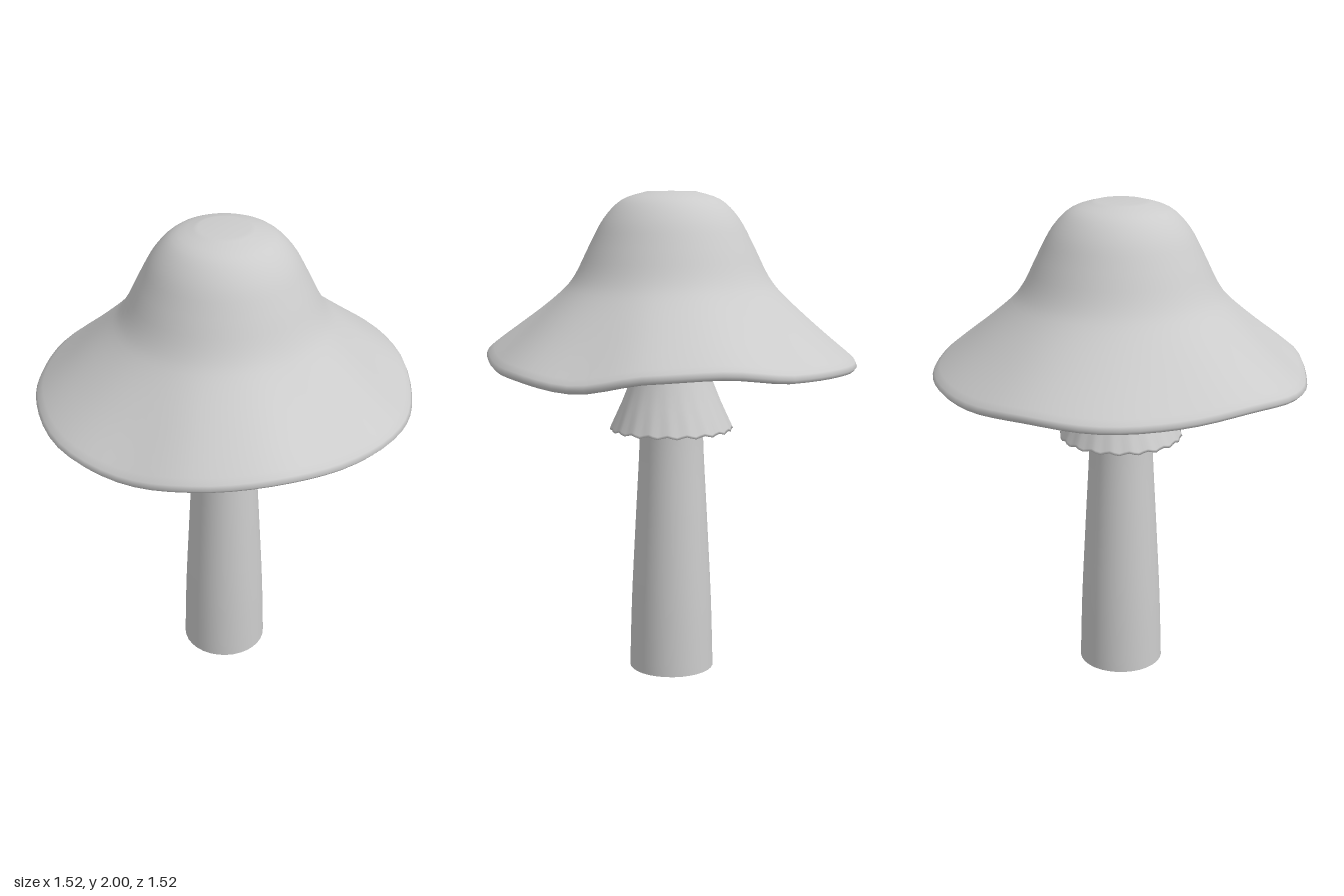
import * as THREE from 'three';
import { mergeVertices } from 'three/addons/utils/BufferGeometryUtils.js';

const material = new THREE.MeshStandardMaterial({ color: 0xcccccc, side: THREE.DoubleSide });

// Turned part whose points may be shifted by a rule; smooth across the seam
function turned(name, profile, segments, rule) {
  const lathe = new THREE.LatheGeometry(profile.map(([r, y]) => new THREE.Vector2(r, y)), segments);
  lathe.deleteAttribute('uv');
  lathe.deleteAttribute('normal');
  const geometry = mergeVertices(lathe, 1e-5);
  if (rule) {
    const p = geometry.attributes.position;
    for (let i = 0; i < p.count; i++) {
      const x = p.getX(i), z = p.getZ(i);
      const [r, y] = rule(Math.hypot(x, z), p.getY(i), Math.atan2(z, x));
      const a = Math.atan2(z, x);
      p.setXYZ(i, r * Math.cos(a), y, r * Math.sin(a));
    }
  }
  geometry.computeVertexNormals();
  const mesh = new THREE.Mesh(geometry, material);
  mesh.name = name;
  return mesh;
}

// Smooth curve through profile points
function smooth(points, count) {
  const curve = new THREE.SplineCurve(points.map(([r, y]) => new THREE.Vector2(r, y)));
  return curve.getPoints(count).map((v) => [Math.max(v.x, 0), v.y]);
}

// Radius and lowest height of the wavy brim, every 22.5 degrees from +x towards +z
const brim = new THREE.CatmullRomCurve3([
  [0.757, 1.285], [0.745, 1.295], [0.772, 1.325], [0.772, 1.305],
  [0.757, 1.268], [0.772, 1.285], [0.758, 1.305], [0.752, 1.29],
  [0.765, 1.285], [0.757, 1.295], [0.76, 1.283], [0.765, 1.29],
  [0.765, 1.295], [0.757, 1.325], [0.757, 1.31], [0.757, 1.262],
].map(([r, y]) => new THREE.Vector3(r, y, 0)), true);

function wave(r, y, a) {
  const b = brim.getPoint((a / (2 * Math.PI) + 1) % 1);
  const w = THREE.MathUtils.smoothstep(r, 0.33, 0.76);
  return [r * (1 + w * (b.x / 0.76 - 1)), y + w * (b.y - 1.288)];
}

export function createModel() {
  const group = new THREE.Group();
  group.name = 'mushroom';

  // Cap: underside, rolled rim, sloping brim and domed crown
  const underside = [[0, 1.3], [0.15, 1.3], [0.3, 1.305], [0.45, 1.305], [0.6, 1.3], [0.69, 1.293]];
  const rim = [[0.725, 1.288], [0.748, 1.292], [0.76, 1.306], [0.752, 1.324]];
  const crown = smooth([[0.73, 1.343], [0.6, 1.452], [0.46, 1.58], [0.395, 1.66], [0.335, 1.78],
    [0.275, 1.89], [0.2, 1.965], [0.1, 1.998]], 28);
  group.add(turned('cap', [...underside, ...rim, ...crown, [0, 2]], 64, wave));

  // Stem: tapering tube, open at the foot
  group.add(turned('stem', smooth([[0.177, 0], [0.168, 0.3], [0.15, 0.65], [0.132, 1], [0.13, 1.3]], 16), 32));

  // Collar: hollow skirt with a scalloped hem and a flared top
  const skirt = [[0.132, 1.07], [0.2, 1.045], [0.24, 1.028], [0.253, 1.026], [0.25, 1.036],
    [0.205, 1.14], [0.167, 1.235], [0.16, 1.26], [0.166, 1.28], [0.185, 1.305]];
  group.add(turned('collar', skirt, 80, (r, y, a) => {
    const hem = r > 0.235 ? 1 : 0;
    return [r + hem * 0.003 * Math.cos(20 * a), y + hem * 0.005 * Math.sin(20 * a)];
  }));

  return group;
}
